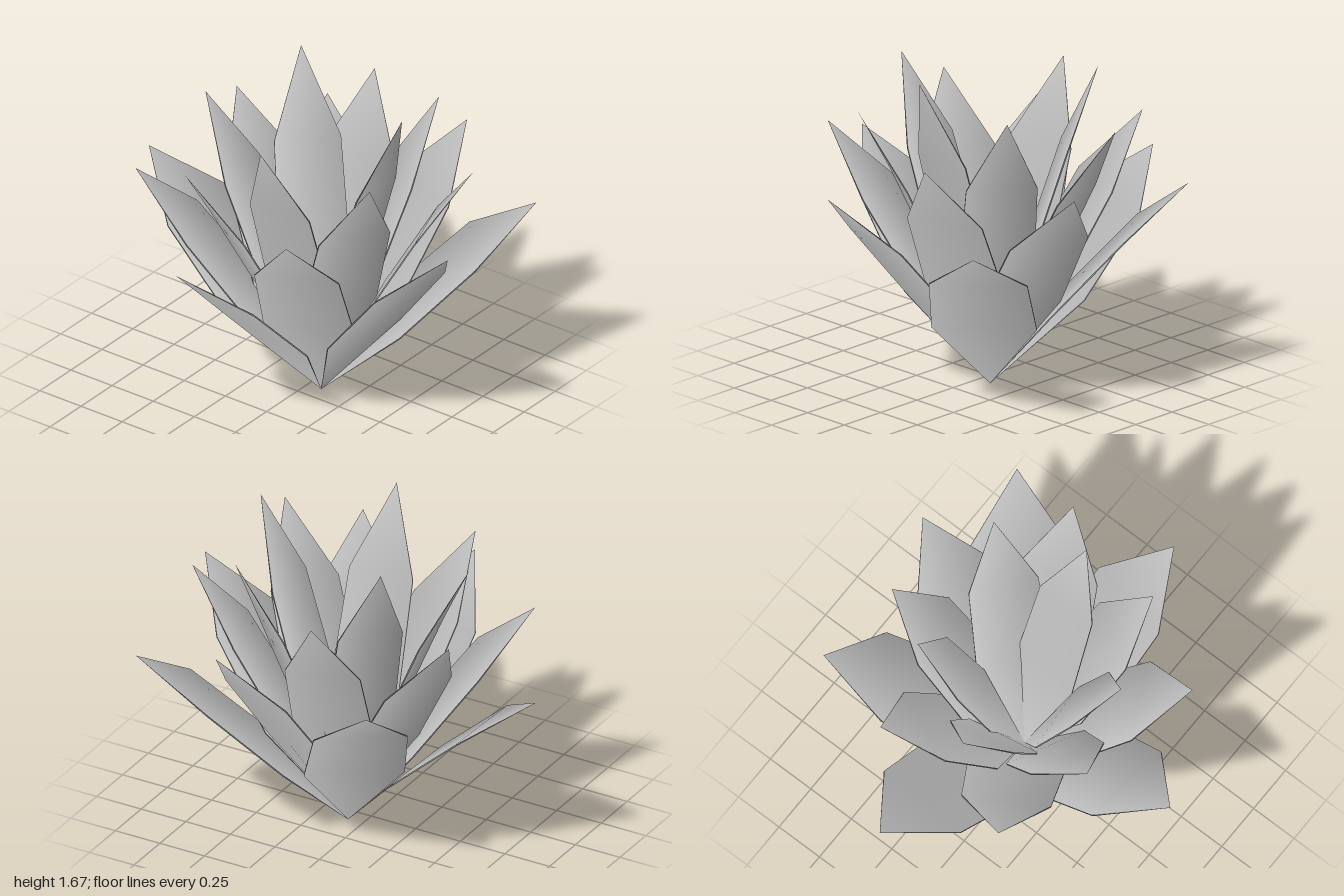
import * as THREE from 'three';

const LEAVES = 18;
const GOLDEN_ANGLE = THREE.MathUtils.degToRad(137.5);
const HALF_THICKNESS = 0.003;

// One face of a blade growing from the origin toward +x: base point, two wide rows bent outward, tip.
// Soft normals roll off toward the margins, so the thin blade reads as rounded.
function bladeFace(reach, height, halfWidth, isUpper) {
  const length = Math.hypot(reach, height);
  const lift = 0.185 * halfWidth + (isUpper ? HALF_THICKNESS : -HALF_THICKNESS);
  const [outward, up] = isUpper ? [-0.4, 1] : [1, 0];
  const positions = [];
  const normals = [];
  const addPoint = (t, side, rise, roll) => {
    positions.push(t * reach - (rise * height) / length, t * height + (rise * reach) / length, side);
    normals.push(...new THREE.Vector3(outward, up, roll).normalize().toArray());
  };
  addPoint(0, 0, 0, 0); // base
  for (const s of [1, -1]) addPoint(0.38, s * halfWidth * 1.07, lift, 0.8 * s);
  for (const s of [1, -1]) addPoint(0.733, s * halfWidth, lift, 0.8 * s);
  addPoint(1, 0, 0, 0); // tip

  const index = [0, 1, 2, 1, 3, 2, 2, 3, 4, 3, 5, 4];
  const geometry = new THREE.BufferGeometry();
  geometry.setAttribute('position', new THREE.Float32BufferAttribute(positions, 3));
  geometry.setAttribute('normal', new THREE.Float32BufferAttribute(normals, 3));
  geometry.setIndex(isUpper ? index : index.reverse());
  return geometry;
}

export function createModel() {
  const model = new THREE.Group();
  model.name = 'succulentPlant';
  const leafGrey = new THREE.MeshStandardMaterial({ color: 0xbababa, side: THREE.DoubleSide });
  leafGrey.name = 'leafGrey';

  // Spiral rosette: leaves turn by the golden angle, growing steeper and slimmer inward.
  const rosette = new THREE.Group();
  rosette.name = 'rosette';
  rosette.position.set(0.08, 0, -0.085);
  for (let i = 0; i < LEAVES; i++) {
    const leaf = new THREE.Group();
    leaf.name = `leaf${i + 1}`;
    for (const isUpper of [true, false]) {
      const geometry = bladeFace(1.08 - 0.0347 * i, 0.97 + 0.0412 * i, 0.245 - 0.005 * i, isUpper);
      const face = new THREE.Mesh(geometry, leafGrey);
      face.name = isUpper ? 'upperFace' : 'underside';
      leaf.add(face);
    }
    leaf.rotation.y = -(THREE.MathUtils.degToRad(182.3) + i * GOLDEN_ANGLE);
    rosette.add(leaf);
  }
  model.add(rosette);
  return model;
}
